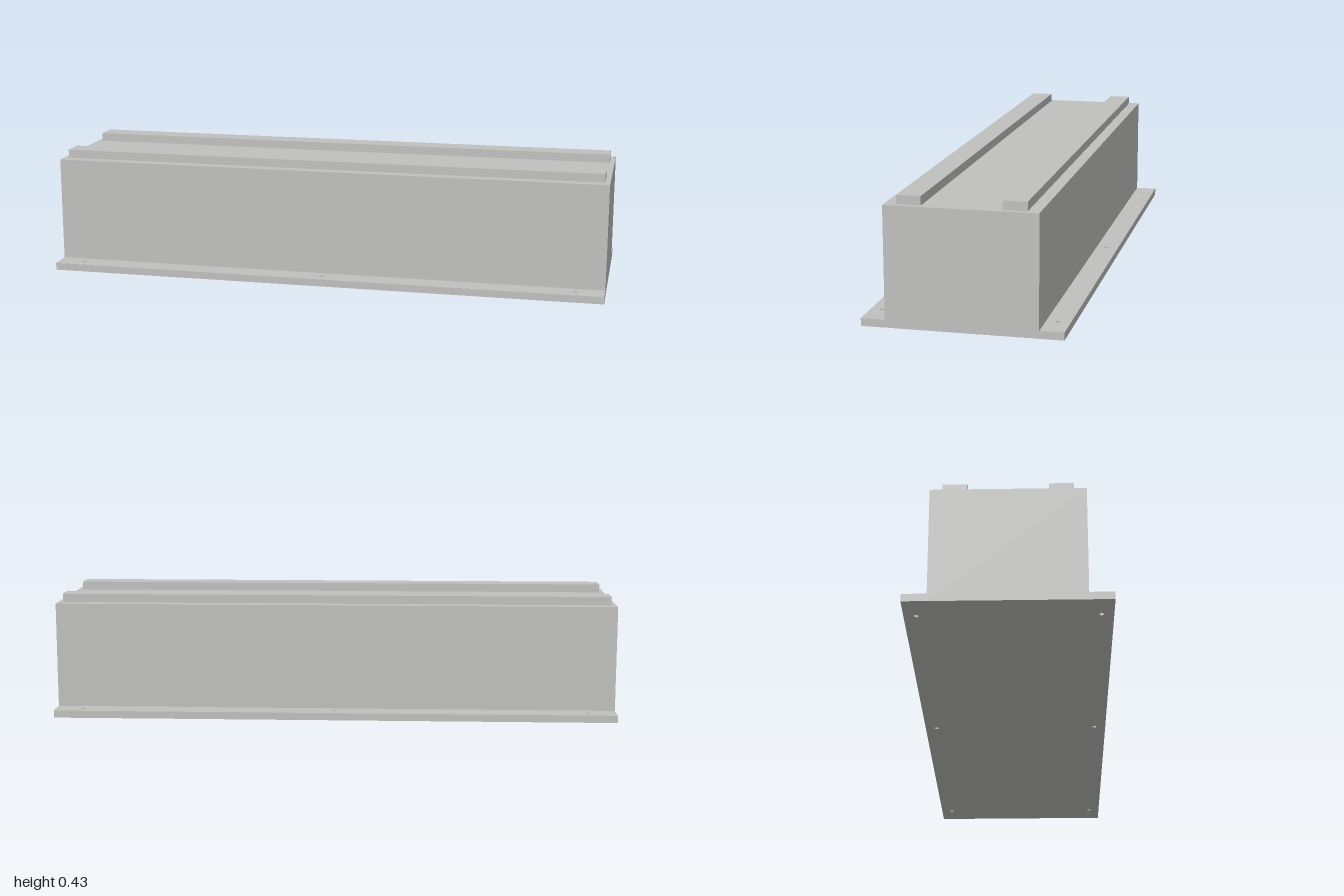
import * as THREE from 'three';

export function createModel() {
  const group = new THREE.Group();
  const grey = new THREE.MeshStandardMaterial({ color: 0xc0c0be });
  grey.name = 'light grey';

  const add = (name, geometry, x, y, z) => {
    const mesh = new THREE.Mesh(geometry, grey);
    mesh.name = name;
    mesh.position.set(x, y, z);
    group.add(mesh);
  };

  // Main block
  add('body', new THREE.BoxGeometry(2, 0.4, 0.5), 0, 0.2, 0);

  // Mounting flange strip with three drilled bolt holes
  const strip = new THREE.Shape();
  strip.moveTo(-1, -0.04);
  strip.lineTo(1, -0.04);
  strip.lineTo(1, 0.04);
  strip.lineTo(-1, 0.04);
  strip.closePath();
  for (const x of [-0.9, 0, 0.9]) {
    strip.holes.push(new THREE.Path().absarc(x, 0, 0.008, 0, Math.PI * 2, true));
  }
  const flange = new THREE.ExtrudeGeometry(strip, { depth: 0.026, bevelEnabled: false, curveSegments: 16 });
  flange.rotateX(-Math.PI / 2);

  // Long top rails, slightly shorter than the body
  const rail = new THREE.BoxGeometry(1.964, 0.03, 0.08);

  for (const [side, s] of [['front', 1], ['back', -1]]) {
    add(side + 'Flange', flange, 0, 0, s * 0.29);
    add(side + 'Rail', rail, 0, 0.415, s * 0.17);
  }
  return group;
}
